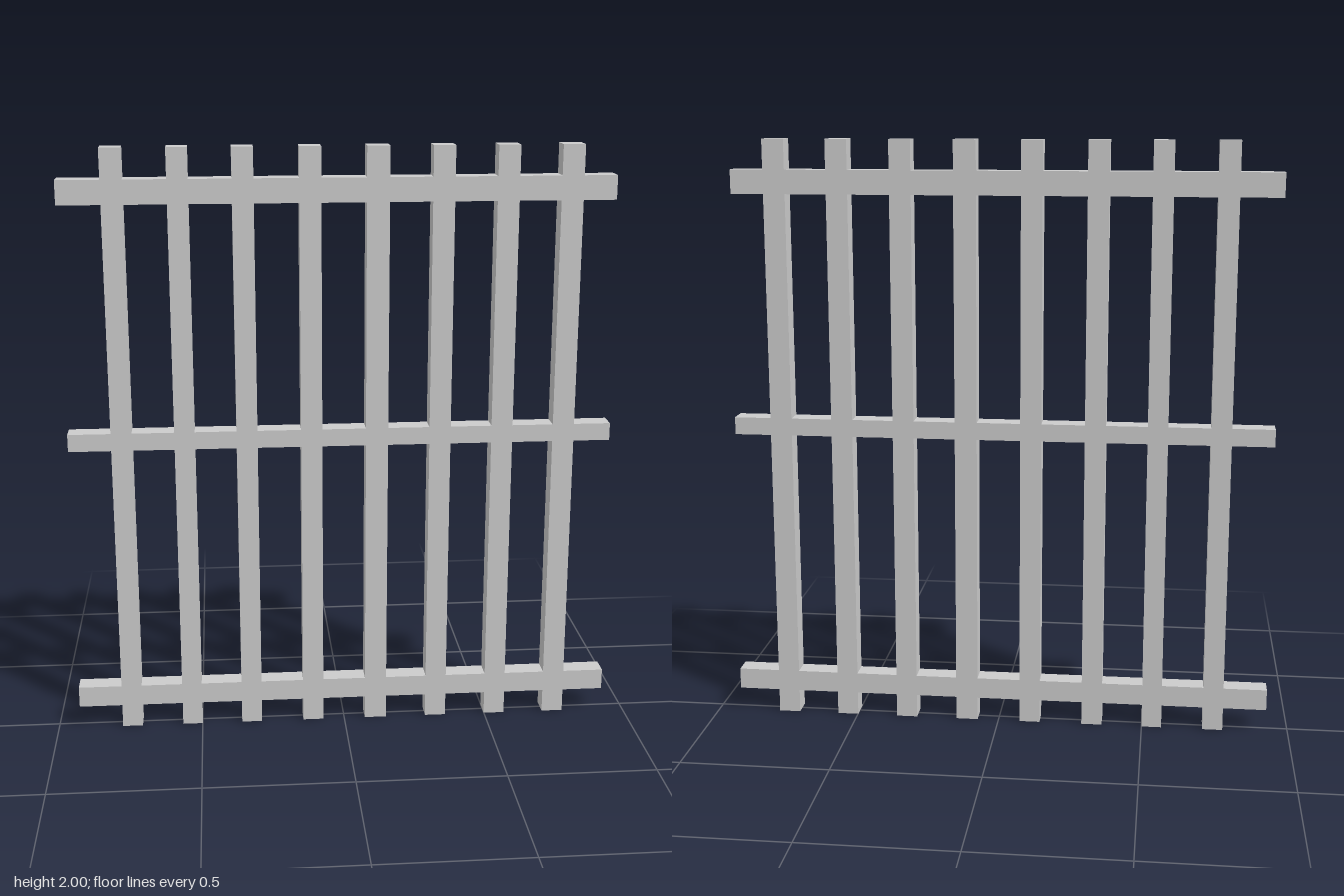
import * as THREE from 'three';

const DEPTH = 0.07;
const HEIGHT = 2;

// Rails from bottom to top: vertical and horizontal extent
const RAILS = [
  { name: 'bottomRail', y0: 0.08, y1: 0.152, x0: -0.925, x1: 0.922 },
  { name: 'middleRail', y0: 1.005, y1: 1.064, x0: -0.92, x1: 0.906 },
  { name: 'topRail', y0: 1.82, y1: 1.9, x0: -0.92, x1: 0.892 },
];

// Left and right edge of each upright bar
const BARS = [
  [-0.778, -0.709], [-0.568, -0.5], [-0.361, -0.291], [-0.145, -0.074],
  [0.073, 0.148], [0.288, 0.36], [0.499, 0.571], [0.709, 0.782],
];

export function createModel() {
  const model = new THREE.Group();
  model.name = 'barredGrille';
  const material = new THREE.MeshStandardMaterial({ color: 0xcccccc, flatShading: true });

  const addBox = (parent, name, x0, x1, y0, y1) => {
    const mesh = new THREE.Mesh(new THREE.BoxGeometry(x1 - x0, y1 - y0, DEPTH), material);
    mesh.name = name;
    mesh.position.set((x0 + x1) / 2, (y0 + y1) / 2, 0);
    parent.add(mesh);
  };

  // Continuous horizontal rails
  for (const r of RAILS) addBox(model, r.name, r.x0, r.x1, r.y0, r.y1);

  // Upright bars, flush with the rails and butted against them
  const starts = [0, ...RAILS.map((r) => r.y1)];
  const ends = [...RAILS.map((r) => r.y0), HEIGHT];
  BARS.forEach(([x0, x1], i) => {
    const bar = new THREE.Group();
    bar.name = `uprightBar${i + 1}`;
    starts.forEach((y0, k) => addBox(bar, `barSection${k + 1}`, x0, x1, y0, ends[k]));
    model.add(bar);
  });

  return model;
}
